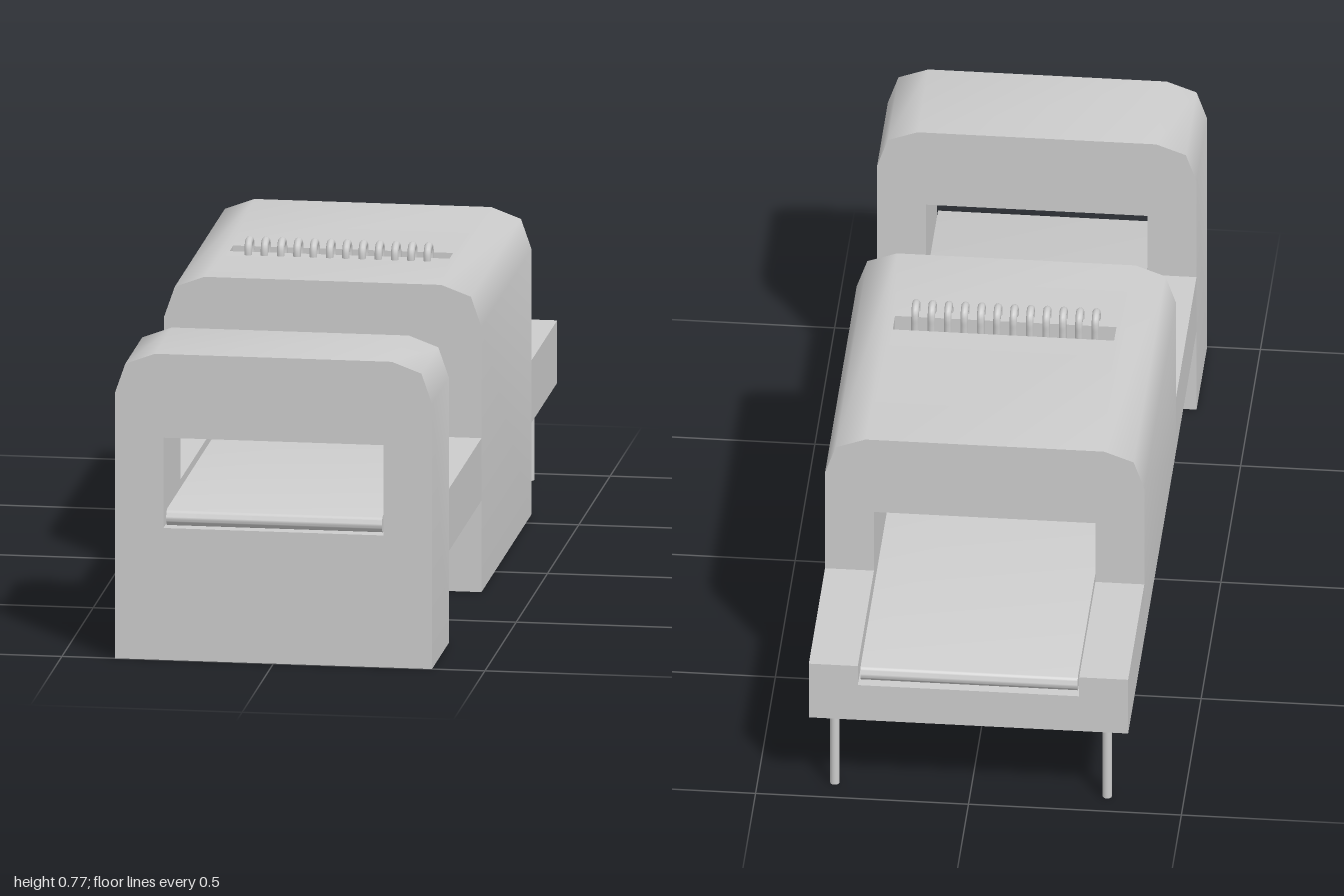
import * as THREE from 'three';
import { mergeGeometries, toCreasedNormals } from 'three/addons/utils/BufferGeometryUtils.js';

const W = 0.375, IN = 0.26;                   // half widths: housing, channel
const BASE = 0.22, RAIL = 0.37, FLOOR = 0.317, CEIL = 0.534, TOP = 0.735;
const ROOF = 0.28;                            // half width of the flat roof

export function createModel() {
  const model = new THREE.Group();
  const mat = new THREE.MeshStandardMaterial({ color: 0xcccccc, side: THREE.DoubleSide });

  const add = (name, geometry, parent = model) => {
    const mesh = new THREE.Mesh(geometry, mat);
    mesh.name = name;
    parent.add(mesh);
    return mesh;
  };
  const group = (name) => {
    const g = new THREE.Group();
    g.name = name;
    model.add(g);
    return g;
  };

  // Thin wall: an open cross-section in x, y swept from z0 to z1
  const strip = (pts, z0, z1) => {
    const pos = [];
    for (let i = 0; i < pts.length - 1; i++) {
      const [ax, ay] = pts[i], [bx, by] = pts[i + 1];
      pos.push(ax, ay, z0, bx, by, z0, bx, by, z1, ax, ay, z0, bx, by, z1, ax, ay, z1);
    }
    const g = new THREE.BufferGeometry();
    g.setAttribute('position', new THREE.Float32BufferAttribute(pos, 3));
    return g;
  };
  const wall = (pts, z0, z1) => toCreasedNormals(strip(pts, z0, z1), 1.0);

  const shapeOf = (pts) => new THREE.Shape(pts.map(([x, y]) => new THREE.Vector2(x, y)));
  const rect = (x0, x1, y0, y1) => [[x0, y0], [x1, y0], [x1, y1], [x0, y1]];
  // Flat face across the model at depth z
  const face = (pts, z, hole) => {
    const s = shapeOf(pts);
    if (hole) s.holes.push(shapeOf(hole));
    return new THREE.ShapeGeometry(s).translate(0, 0, z);
  };

  // Housing side with its chamfered shoulder, from the foot up to the roof
  const side = (y0) => [[W, y0], [W, 0.637], [0.35, 0.709], [ROOF, TOP]];
  const mirror = (pts) => pts.map(([x, y]) => [-x, y]).reverse();
  const arch = (yr, yl) => [...side(yr), ...mirror(side(yl))];
  const opening = rect(-IN, IN, FLOOR, CEIL);
  const tunnel = [...opening, opening[0]].reverse();
  // Face above the rails, cut out around the tunnel
  const portal = [...arch(RAIL, RAIL), [-IN, RAIL], [-IN, CEIL], [IN, CEIL], [IN, RAIL]];

  // Entry gate, hollow and open underneath
  const gate = group('entryGate');
  add('gateShell', wall(arch(0, 0), 0.73, 1), gate);
  add('gateFront', face(arch(0, 0), 1, opening), gate);
  add('gateBack', face(portal, 0.73), gate);
  add('gateBackLower', face(rect(-W, W, 0, BASE), 0.73), gate);
  add('gateTunnel', wall(tunnel, 0.73, 1), gate);

  // Main housing: roof with a slot, a full-height left side, a short right side
  const Z0 = -0.59, Z1 = 0.21, S0 = -0.115, S1 = -0.057;
  const body = group('mainHousing');
  const roofShape = shapeOf(rect(-ROOF, ROOF, -Z1, -Z0));
  roofShape.holes.push(shapeOf(rect(-IN, IN, -S1, -S0)));
  const roof = new THREE.ShapeGeometry(roofShape).rotateX(-Math.PI / 2).translate(0, TOP, 0).toNonIndexed();
  roof.deleteAttribute('uv');
  roof.deleteAttribute('normal');
  const shell = mergeGeometries([strip(side(0), Z0, Z1), strip(mirror(side(BASE)), Z0, Z1), roof]);
  add('housingShell', toCreasedNormals(shell, 1.0), body);
  add('housingTunnel', wall(tunnel, Z0, Z1), body);
  for (const z of [Z0, Z1]) {
    add('housingPortal', face(portal, z), body);
    add('legEnd', face(rect(IN, W, 0, BASE), z), body);
  }
  add('legInnerWall', wall([[IN, BASE], [IN, 0]], Z0, Z1), body);

  // Pocket below the roof slot: a box without its lid
  const pocket = new THREE.BoxGeometry(2 * IN, 0.06, S1 - S0);
  pocket.setIndex(Array.from(pocket.index.array).filter((_, i) => Math.floor(i / 6) !== 2));
  pocket.clearGroups();
  add('roofSlot', pocket, body).position.set(0, TOP - 0.03, (S0 + S1) / 2);

  // Row of small hooks reaching out of the slot
  const hooks = group('hooks');
  const r = 0.022, arcY = 0.744;
  const path = [new THREE.Vector3(0, 0.70, -r), new THREE.Vector3(0, 0.725, -r)];
  for (let i = 0; i <= 6; i++) {
    const a = Math.PI * (1 - i / 6);
    path.push(new THREE.Vector3(0, arcY + r * Math.sin(a), r * Math.cos(a)));
  }
  path.push(new THREE.Vector3(0, 0.725, r));
  const hook = new THREE.TubeGeometry(new THREE.CatmullRomCurve3(path), 24, 0.009, 10);
  for (let i = 0; i < 12; i++) {
    add('hook', hook, hooks).position.set((i - 5.5) * 0.0385, 0, -0.05);
  }

  // Conveyor frame: hollow trough between the housings
  const half = [[W, BASE], [W, RAIL], [IN, RAIL], [IN, FLOOR]];
  const trough = [...half, ...mirror(half)];
  const frame = group('conveyorFrame');
  add('rearTrough', wall(trough, -1, Z0), frame);
  add('middleTrough', wall(trough, Z1, 0.73), frame);
  add('rearEnd', face(trough, -1), frame);

  // Conveyor belt: a long slab with rounded ends
  const R = 0.02, end = 0.99 - R, beltW = 0.255;
  const belt = new THREE.Shape();
  belt.absarc(end, FLOOR + R, R, -Math.PI / 2, Math.PI / 2);
  belt.absarc(-end, FLOOR + R, R, Math.PI / 2, Math.PI * 1.5);
  const beltGeo = new THREE.ExtrudeGeometry(belt, { depth: 2 * beltW, bevelEnabled: false, curveSegments: 10 })
    .rotateY(-Math.PI / 2).translate(beltW, 0.001, 0);
  add('belt', toCreasedNormals(beltGeo, 0.6));

  // Slim support posts
  const posts = group('posts');
  const postGeo = new THREE.CylinderGeometry(0.011, 0.011, RAIL, 16);
  const spots = [[0.32, 0.48], [0.32, -0.935], [-0.32, 0.48], [-0.32, 0.06], [-0.32, -0.46], [-0.32, -0.935]];
  for (const [x, z] of spots) add('post', postGeo, posts).position.set(x, RAIL / 2, z);

  return model;
}
